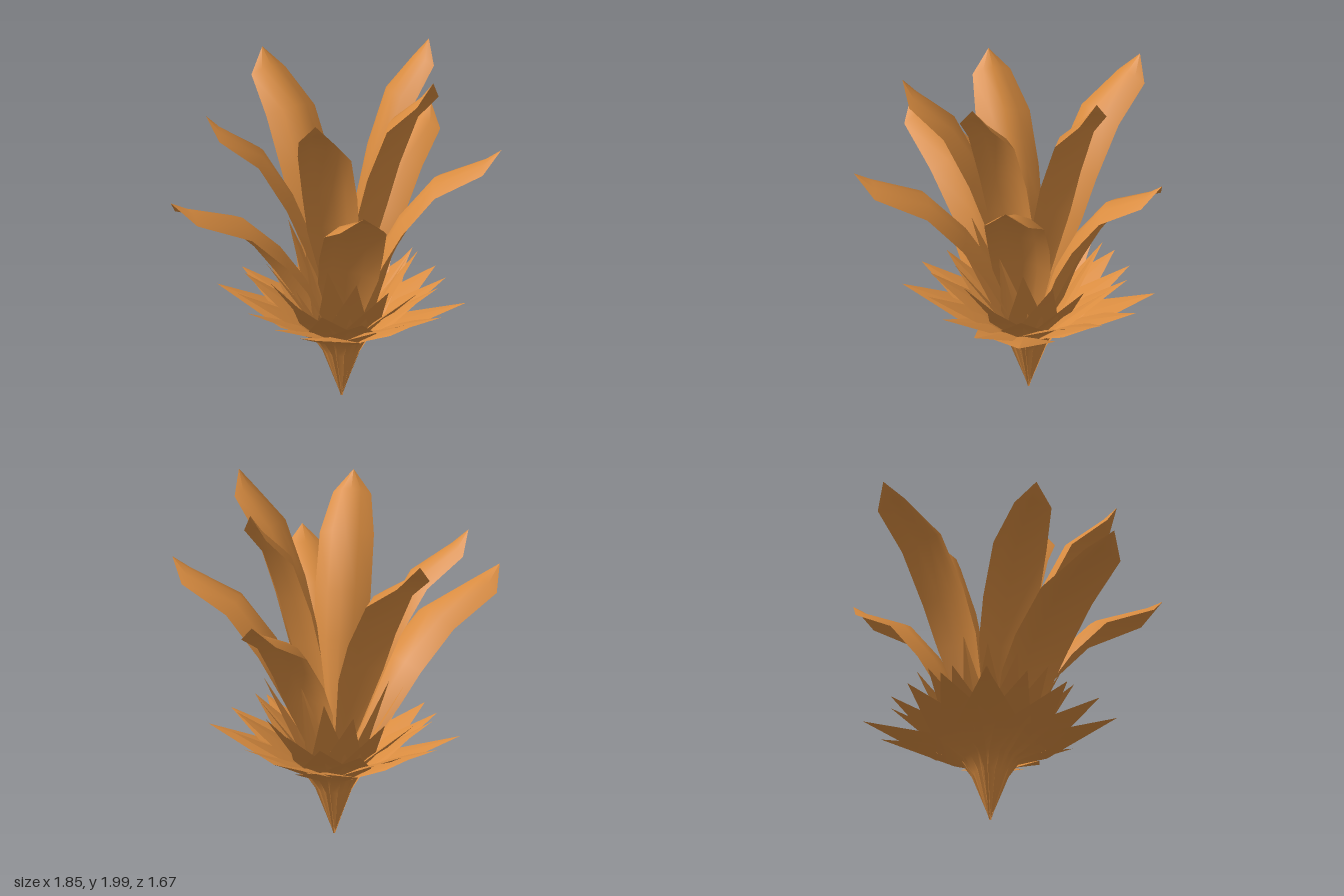
import * as THREE from 'three';

const material = new THREE.MeshStandardMaterial({ color: 0xd98c40, side: THREE.DoubleSide });

// Blade along a spine of [radius, height, width] rows, arched across its width.
// The spine leans out along +x from the plant's axis.
function bladeGeometry(rows, droop, columns) {
  const positions = [], index = [];
  rows.forEach(([r, y, width], i) => {
    const before = rows[Math.max(i - 1, 0)];
    const after = rows[Math.min(i + 1, rows.length - 1)];
    const dr = after[0] - before[0], dy = after[1] - before[1];
    const length = Math.hypot(dr, dy);
    for (let j = 0; j <= columns; j++) {
      const u = (j / columns) * 2 - 1;
      const drop = droop * width * u * u;
      positions.push(r + (drop * dy) / length, y - (drop * dr) / length, (u * width) / 2);
      if (i > 0 && j > 0) {
        const d = i * (columns + 1) + j, c = d - 1;
        const b = d - columns - 1, a = b - 1;
        index.push(a, b, c, b, d, c);
      }
    }
  });
  const geometry = new THREE.BufferGeometry();
  geometry.setAttribute('position', new THREE.Float32BufferAttribute(positions, 3));
  geometry.setIndex(index);
  geometry.computeVertexNormals();
  return geometry;
}

// Long leaf: narrow stem, broad blade, blunt pointed tip
function leafGeometry(R, Y) {
  const w = 0.28 + 0.15 * (R - 0.57);
  return bladeGeometry([
    [0, 0.01, 0.01],
    [0.09 * R, 0.33 * Y, 0.45 * w],
    [0.23 * R, 0.57 * Y, 0.97 * w],
    [0.36 * R, 0.71 * Y, 1.03 * w],
    [0.58 * R, 0.87 * Y, w],
    [0.89 * R, 0.955 * Y, 0.7 * w],
    [R, Y, 0.002],
  ], 0.22, 4);
}

// Short bract: thin stem, low elbow, wide diamond-shaped blade
function bractGeometry(R, Y) {
  return bladeGeometry([
    [0, 0.01, 0.01],
    [0.14 * R, 0.28, 0.06],
    [0.21 * R, 0.37, 0.12],
    [0.43 * R, 0.47 + 0.17 * (Y - 0.6), 0.5 * R],
    [R, Y, 0.002],
  ], 0.06, 2);
}

export function createModel() {
  const plant = new THREE.Group();
  plant.name = 'plant';

  // Long leaves: [angle in degrees from +x towards +z, reach, height]
  const leaves = new THREE.Group();
  leaves.name = 'longLeaves';
  [
    [0, 0.57, 1.98], [70, 0.62, 2.0], [135.5, 0.69, 1.87],
    [203.5, 0.75, 1.71], [270.5, 0.79, 1.79], [339.5, 0.83, 1.46],
    [48.5, 0.9, 1.55], [116.5, 0.98, 1.45], [184, 1.07, 1.36],
  ].forEach(([angle, reach, height]) => {
    const leaf = new THREE.Mesh(leafGeometry(reach, height), material);
    leaf.name = 'longLeaf';
    leaf.rotation.y = -THREE.MathUtils.degToRad(angle);
    leaves.add(leaf);
  });
  plant.add(leaves);

  // Bracts: four to a ring, each ring turned an eighth of a half turn,
  // shorter and steeper towards the middle
  for (let ring = 0; ring < 10; ring++) {
    const group = new THREE.Group();
    group.name = 'bractRing' + (ring + 1);
    const geometry = bractGeometry(
      0.69 - 0.038 * ring,
      0.61 + 0.003 * ring + 0.004 * ring * ring,
    );
    for (let i = 0; i < 4; i++) {
      const bract = new THREE.Mesh(geometry, material);
      bract.name = 'bract';
      bract.rotation.y = -((ring + 2 + i * 4) * Math.PI) / 8;
      group.add(bract);
    }
    plant.add(group);
  }

  // The root sits off the centre of the spread
  plant.position.set(0.14, 0, -0.05);
  const model = new THREE.Group();
  model.name = 'model';
  model.add(plant);
  return model;
}
